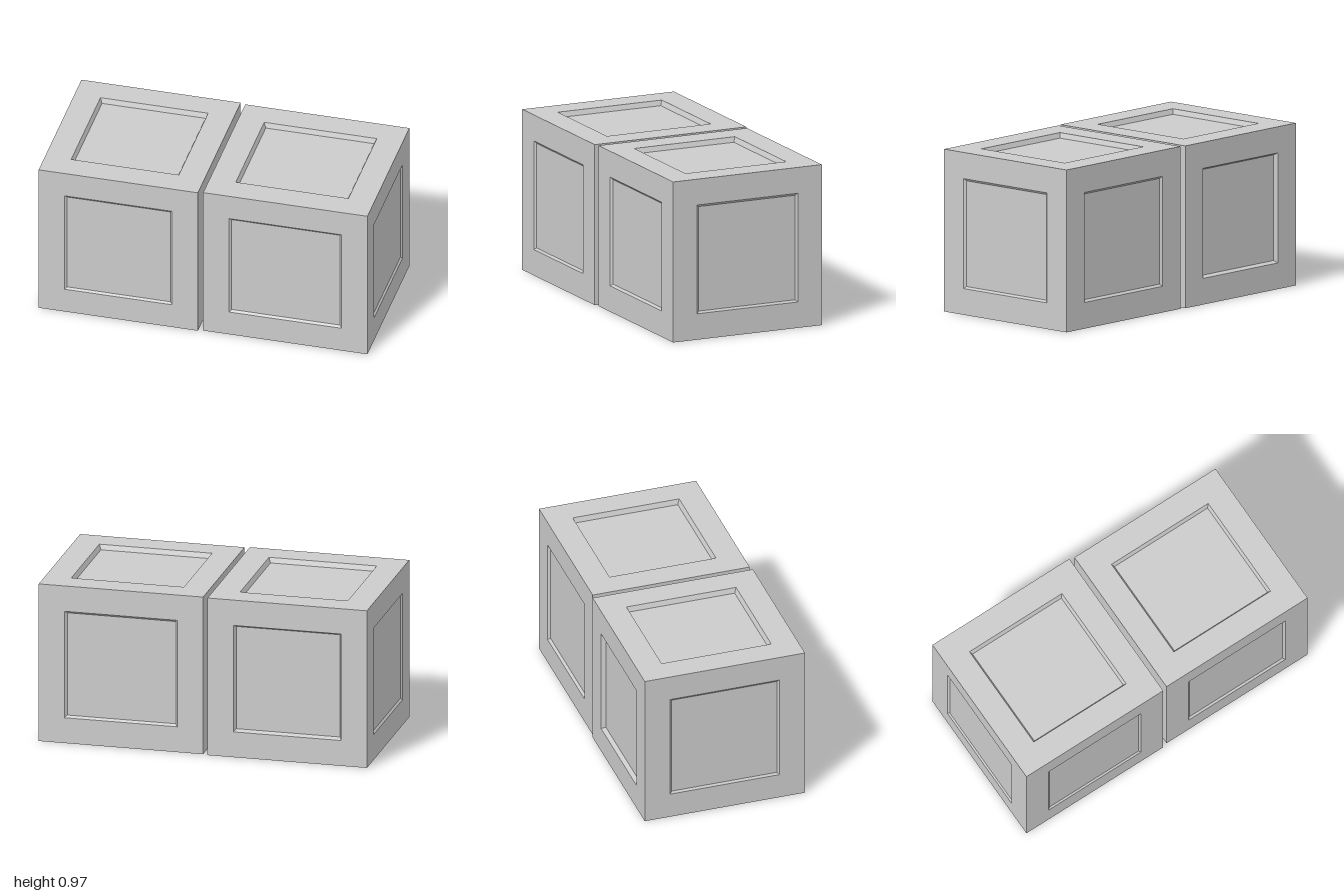
import * as THREE from 'three';

const MARGIN = 0.157; // width of the frame around each panel
const BEVEL = 0.013;  // inward slope of the recess walls

// One crate side: a flat frame, sloping recess walls and a sunken panel.
function sideGeometry(min, max, axis, sign, depth) {
  const u = (axis + 1) % 3, v = (axis + 2) % 3;
  const level = sign > 0 ? max[axis] : min[axis];
  const ring = (inset, sink) =>
    [[0, 0], [1, 0], [1, 1], [0, 1]].map(([a, b]) => {
      const p = [0, 0, 0];
      p[axis] = level - sign * sink;
      p[u] = a ? max[u] - inset : min[u] + inset;
      p[v] = b ? max[v] - inset : min[v] + inset;
      return p;
    });
  const positions = [];
  const quad = (a, b, c, d) => {
    const order = sign > 0 ? [a, b, c, a, c, d] : [a, c, b, a, d, c];
    order.forEach((p) => positions.push(...p));
  };
  const rings = [ring(0, 0), ring(MARGIN, 0), ring(MARGIN + BEVEL, depth)];
  for (let r = 0; r < 2; r++) {
    for (let i = 0; i < 4; i++) {
      const j = (i + 1) % 4;
      quad(rings[r][i], rings[r][j], rings[r + 1][j], rings[r + 1][i]);
    }
  }
  quad(...rings[2]);
  const geometry = new THREE.BufferGeometry();
  geometry.setAttribute('position', new THREE.Float32BufferAttribute(positions, 3));
  geometry.computeVertexNormals();
  return geometry;
}

// A crate with a recessed panel on all six sides.
function makeCrate(name, min, max, depths, material) {
  const crate = new THREE.Group();
  crate.name = name;
  const sides = [
    ['leftSide', 0, 1], ['rightSide', 0, -1],
    ['topSide', 1, 1], ['bottomSide', 1, -1],
    ['frontSide', 2, 1], ['backSide', 2, -1],
  ];
  for (const [label, axis, sign] of sides) {
    const mesh = new THREE.Mesh(sideGeometry(min, max, axis, sign, depths[label]), material);
    mesh.name = label;
    crate.add(mesh);
  }
  return crate;
}

export function createModel() {
  const model = new THREE.Group();
  model.name = 'cratePair';
  const material = new THREE.MeshStandardMaterial({ color: 0xcccccc, flatShading: true });

  model.add(
    makeCrate('rightCrate', [-1, 0.003, -0.5], [-0.03, 0.977, 0.495], {
      leftSide: 0.02, rightSide: 0.01, topSide: 0.03,
      bottomSide: 0.03, frontSide: 0.01, backSide: 0.025,
    }, material),
    makeCrate('leftCrate', [0, 0.003, -0.49], [1, 0.977, 0.485], {
      leftSide: 0.01, rightSide: 0.02, topSide: 0.03,
      bottomSide: 0.03, frontSide: 0.012, backSide: 0.015,
    }, material),
  );
  return model;
}
